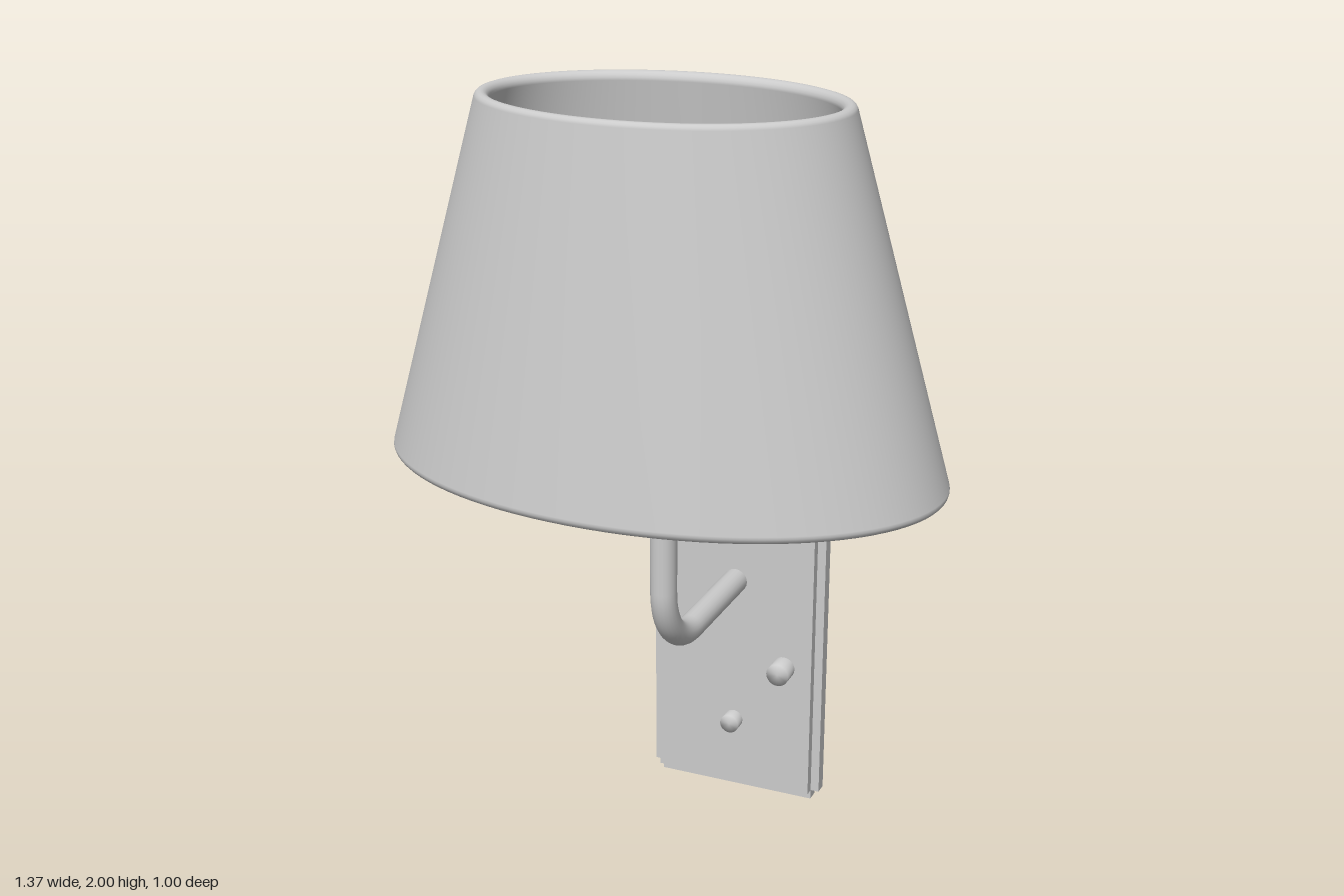
import * as THREE from 'three';
import { mergeVertices } from 'three/addons/utils/BufferGeometryUtils.js';

const AXIS_Z = 0.063; // depth of the vertical lamp axis

export function createModel() {
  const group = new THREE.Group();
  const material = new THREE.MeshStandardMaterial({ color: 0xcccccc });

  function add(name, geometry, x = 0, y = 0, z = 0) {
    const mesh = new THREE.Mesh(geometry, material);
    mesh.name = name;
    mesh.position.set(x, y, z);
    group.add(mesh);
    return mesh;
  }

  const lathe = (points, segments = 32) =>
    new THREE.LatheGeometry(points.map(([r, y]) => new THREE.Vector2(r, y)), segments);

  // Wall plate: front and back slabs around a core that overhangs with notched corners
  add('wallPlate', new THREE.BoxGeometry(0.44, 1.2, 0.085), 0, 0.627, -0.4575);
  add('wallPlateSideLip', new THREE.BoxGeometry(0.486, 1.2, 0.034), 0, 0.627, -0.4575);
  add('wallPlateEndLip', new THREE.BoxGeometry(0.44, 1.254, 0.034), 0, 0.627, -0.4575);

  // Screws and switch knob, turned so their axis points forward
  for (const [name, x, y, r, h] of [
    ['lowerScrew', 0, 0.216, 0.026, 0.035],
    ['upperScrew', 0, 1.1, 0.026, 0.035],
    ['switchKnob', 0.142, 0.4, 0.031, 0.05],
  ]) {
    const knob = add(name, lathe([[r, -0.01], [r, h], [0, h]], 24), x, y, -0.415);
    knob.rotation.x = Math.PI / 2;
  }

  // Bent arm: out of the plate, a quarter bend, then up to the socket
  const bend = 0.17, armY = 0.632;
  const arm = new THREE.CurvePath();
  const a = new THREE.Vector3(0, armY, -0.43);
  const b = new THREE.Vector3(0, armY, AXIS_Z - bend);
  const c = new THREE.Vector3(0, armY + bend, AXIS_Z);
  const d = new THREE.Vector3(0, 1.14, AXIS_Z);
  const k = bend * 0.5523;
  arm.add(new THREE.LineCurve3(a, b));
  arm.add(new THREE.CubicBezierCurve3(
    b, new THREE.Vector3(0, armY, b.z + k), new THREE.Vector3(0, c.y - k, AXIS_Z), c));
  arm.add(new THREE.LineCurve3(c, d));
  add('arm', new THREE.TubeGeometry(arm, 80, 0.033, 20));

  // Socket and bulb
  add('socket', new THREE.CylinderGeometry(0.073, 0.073, 0.12, 32), 0, 1.18, AXIS_Z);
  add('socketCollar', new THREE.CylinderGeometry(0.06, 0.066, 0.09, 32), 0, 1.28, AXIS_Z);
  add('bulb', new THREE.SphereGeometry(0.149, 40, 28), 0, 1.44, AXIS_Z);

  // Oval shade: closed wall profile with rounded rims
  const wall = 0.017, top = [0.423, 1.983], bottom = [0.668, 1.147];
  const slope = Math.atan2(bottom[0] - top[0], top[1] - bottom[1]);
  const profile = [];
  for (const [centre, start] of [[top, slope], [bottom, slope + Math.PI]]) {
    for (let i = 0; i <= 8; i++) {
      const t = start + (i / 8) * Math.PI;
      profile.push([centre[0] + wall * Math.cos(t), centre[1] + wall * Math.sin(t)]);
    }
  }
  profile.push(profile[0]);
  let shade = lathe(profile, 96);
  const p = shade.attributes.position;
  // Squash in depth, more strongly towards the bottom
  for (let i = 0; i < p.count; i++) {
    const r = Math.hypot(p.getX(i), p.getZ(i));
    const narrowing = THREE.MathUtils.mapLinear(p.getY(i), 1.13, 2, 0.25, 0.125);
    p.setZ(i, p.getZ(i) * (r - narrowing) / r);
  }
  shade.deleteAttribute('uv');
  shade.deleteAttribute('normal');
  shade = mergeVertices(shade);
  shade.computeVertexNormals();
  add('shade', shade, 0, 0, AXIS_Z);

  // Three spokes carrying the shade from the socket
  const spokeY = 1.19;
  for (const degrees of [0, 129, 223]) {
    const t = THREE.MathUtils.degToRad(degrees);
    const cos = Math.cos(t), sin = Math.sin(t);
    const length = 1 / Math.hypot(cos / 0.65, sin / 0.415);
    const spoke = add('shadeSpoke', new THREE.CylinderGeometry(0.013, 0.013, length, 12),
      cos * length / 2, spokeY, AXIS_Z + sin * length / 2);
    spoke.quaternion.setFromUnitVectors(
      new THREE.Vector3(0, 1, 0), new THREE.Vector3(cos, 0, sin));
  }

  return group;
}
